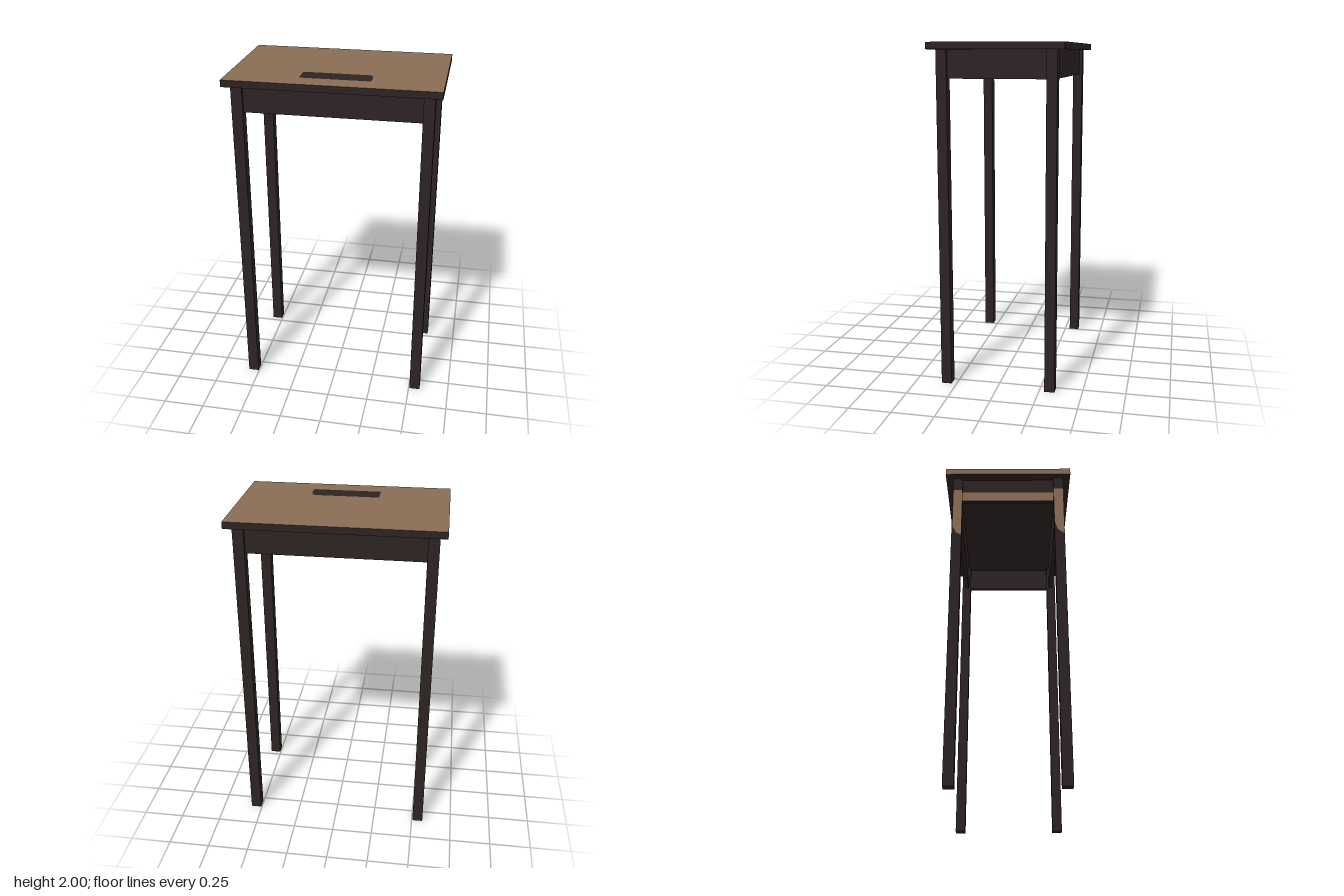
import * as THREE from 'three';

export function createModel() {
  const model = new THREE.Group();
  model.name = 'tallTable';

  const dark = new THREE.MeshStandardMaterial({ color: 0x2d2323 });
  dark.name = 'darkWood';
  const brown = new THREE.MeshStandardMaterial({ color: 0x8a6d55 });
  brown.name = 'brownWood';

  function add(name, geometry, material, x, y, z) {
    const mesh = new THREE.Mesh(geometry, material);
    mesh.name = name;
    mesh.position.set(x, y, z);
    model.add(mesh);
    return mesh;
  }
  const box = (w, h, d) => new THREE.BoxGeometry(w, h, d);

  // Table top: brown on the upper face and the right-hand rim, dark elsewhere
  // (material order: +x, -x, +y, -y, +z, -z)
  add('tableTop', box(1.22, 0.04, 0.77), [dark, brown, brown, dark, dark, dark], 0, 1.98, 0);

  // Four square legs
  for (const sx of [-1, 1]) {
    for (const sz of [-1, 1]) {
      const name = (sz > 0 ? 'front' : 'back') + (sx > 0 ? 'Left' : 'Right') + 'Leg';
      add(name, box(0.064, 1.96, 0.06), dark, sx * 0.537, 0.98, sz * 0.311);
    }
  }

  // Aprons between the legs, set in from their outer faces
  const recess = 0.02, thick = 0.025;
  for (const s of [-1, 1]) {
    add(s > 0 ? 'frontApron' : 'backApron', box(1.012, 0.16, thick), dark,
      0, 1.88, s * (0.341 - recess - thick / 2));
    add(s > 0 ? 'leftApron' : 'rightApron', box(thick, 0.16, 0.564), dark,
      s * (0.569 - recess - thick / 2), 1.88, 0);
  }

  // Dark slot marking on the top, with one rounded end
  const slot = new THREE.Shape();
  slot.moveTo(-0.195, -0.265);
  slot.lineTo(0.195, -0.265);
  slot.quadraticCurveTo(0.21, -0.265, 0.21, -0.25);
  slot.lineTo(0.21, -0.2);
  slot.quadraticCurveTo(0.207, -0.152, 0.18, -0.15);
  slot.lineTo(-0.195, -0.15);
  slot.closePath();
  const slotGeometry = new THREE.ShapeGeometry(slot);
  slotGeometry.rotateX(-Math.PI / 2);
  add('slotMarking', slotGeometry, dark, 0, 2.001, 0);

  // Brown wear on the right-hand faces of the legs and apron; points are (z, y)
  function wear(name, points, x) {
    const shape = new THREE.Shape(points.map(([z, y]) => new THREE.Vector2(z, y)));
    const geometry = new THREE.ShapeGeometry(shape);
    geometry.rotateY(-Math.PI / 2);
    add(name, geometry, brown, x, 0, 0);
  }
  wear('backLegWear', [[-0.335, 1.87], [-0.335, 1.6], [-0.315, 1.56], [-0.281, 1.54], [-0.281, 1.87]], -0.571);
  wear('frontLegWear', [[0.281, 1.88], [0.281, 1.64], [0.3, 1.58], [0.341, 1.55], [0.341, 1.88]], -0.571);
  wear('apronWear', [[-0.281, 1.865], [-0.281, 1.805], [0.281, 1.805], [0.281, 1.865]], -0.551);

  return model;
}
